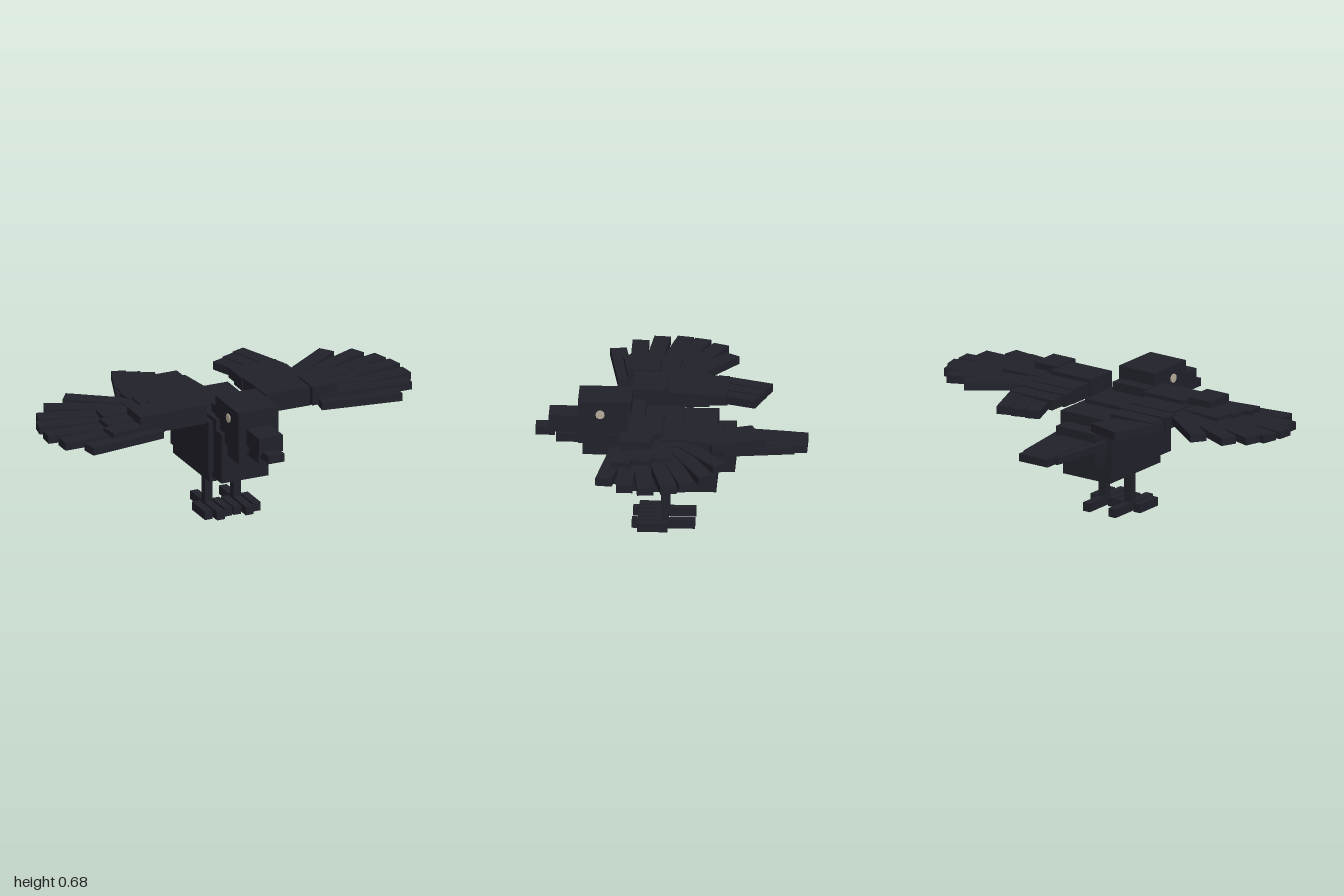
import * as THREE from 'three';

const plumage = new THREE.MeshStandardMaterial({ color: 0x21212b });
plumage.name = 'dark plumage';
const eyeColour = new THREE.MeshStandardMaterial({ color: 0xb8ae9c });
eyeColour.name = 'pale eye';

// Box given by its limits on each axis
function block(parent, name, [x0, x1], [y0, y1], [z0, z1]) {
  const mesh = new THREE.Mesh(
    new THREE.BoxGeometry(Math.abs(x1 - x0), y1 - y0, z1 - z0), plumage);
  mesh.position.set((x0 + x1) / 2, (y0 + y1) / 2, (z0 + z1) / 2);
  mesh.name = name;
  parent.add(mesh);
  return mesh;
}

// Flat feather running from a root point to a tip point (x, z)
function feather(parent, name, [x0, z0], [x1, z1], width, y, thick) {
  const dx = x1 - x0, dz = z1 - z0;
  const mesh = new THREE.Mesh(
    new THREE.BoxGeometry(Math.hypot(dx, dz), thick, width), plumage);
  mesh.position.set((x0 + x1) / 2, y, (z0 + z1) / 2);
  mesh.rotation.y = -Math.atan2(dz, dx);
  mesh.name = name;
  parent.add(mesh);
  return mesh;
}

function makeWing(s) {
  const wing = new THREE.Group();
  wing.name = s > 0 ? 'leftWing' : 'rightWing';

  // Arm and wrist
  block(wing, 'wingArm', [s * 0.16, s * 0.41], [0.535, 0.635], [0.03, 0.205]);
  block(wing, 'wingWrist', [s * 0.405, s * 0.54], [0.545, 0.643], [0.075, 0.235]);

  // Covert rows stepping back from the arm
  block(wing, 'covertFront', [s * 0.175, s * 0.435], [0.54, 0.615], [-0.1, 0.04]);
  block(wing, 'covertMiddle', [s * 0.17, s * 0.455], [0.545, 0.61], [-0.18, -0.09]);
  block(wing, 'covertBack', [s * 0.18, s * 0.44], [0.55, 0.603], [-0.27, -0.17]);
  block(wing, 'handCovert', [s * 0.4, s * 0.5], [0.545, 0.605], [-0.1, 0.1]);

  // Three inner flight feathers
  for (let i = 0; i < 3; i++) {
    const x = 0.194 + i * 0.067, z = -0.42 - i * 0.0275;
    feather(wing, 'innerFeather', [s * (x + 0.1), z + 0.27], [s * x, z],
      0.075, 0.566 + i * 0.005, 0.042);
  }

  // Fan of seven outer flight feathers
  const tips = [[0.855, 0.303], [0.953, 0.195], [0.993, 0.088], [0.982, -0.028],
    [0.943, -0.117], [0.864, -0.21], [0.722, -0.273]];
  tips.forEach(([x, z], i) => {
    const root = [s * 0.44, 0.245 - i * 0.052];
    feather(wing, 'outerFeather', root, [s * x, z], 0.083, 0.553 + i * 0.005, 0.04);
  });

  // Short coverts over the feather roots
  const covertTips = [[0.71, 0.225], [0.69, 0.12], [0.665, 0.02]];
  covertTips.forEach(([x, z], i) => {
    feather(wing, 'outerCovert', [s * 0.45, 0.19 - i * 0.08], [s * x, z],
      0.095, 0.575 + i * 0.005, 0.05);
  });
  return wing;
}

function makeLeg(s) {
  const leg = new THREE.Group();
  leg.name = s > 0 ? 'leftLeg' : 'rightLeg';
  block(leg, 'shank', [s * 0.057, s * 0.1], [0.02, 0.25], [0.01, 0.05]);
  block(leg, 'middleToe', [s * 0.058, s * 0.1], [0, 0.045], [0.012, 0.195]);
  block(leg, 'innerToe', [s * 0.005, s * 0.045], [0, 0.045], [0.015, 0.165]);
  block(leg, 'outerToe', [s * 0.112, s * 0.153], [0, 0.045], [0.015, 0.165]);
  block(leg, 'backToe', [s * 0.058, s * 0.1], [0, 0.045], [-0.12, 0.012]);
  return leg;
}

export function createModel() {
  const bird = new THREE.Group();
  bird.name = 'bird';

  // Body
  block(bird, 'body', [-0.158, 0.158], [0.27, 0.545], [-0.23, 0.215]);
  block(bird, 'belly', [-0.145, 0.145], [0.217, 0.28], [-0.228, 0.2]);
  block(bird, 'underside', [-0.115, 0.115], [0.2, 0.23], [-0.07, 0.105]);
  block(bird, 'chest', [-0.13, 0.13], [0.245, 0.51], [0, 0.308]);
  block(bird, 'mantle', [-0.132, 0.132], [0.5, 0.565], [-0.06, 0.25]);
  block(bird, 'rump', [-0.12, 0.12], [0.317, 0.495], [-0.32, -0.2]);

  // Head and beak
  block(bird, 'neck', [-0.095, 0.095], [0.39, 0.55], [0.2, 0.44]);
  block(bird, 'nape', [-0.1, 0.1], [0.5, 0.61], [0.13, 0.25]);
  block(bird, 'head', [-0.11, 0.11], [0.455, 0.675], [0.197, 0.463]);
  block(bird, 'upperBeak', [-0.066, 0.066], [0.498, 0.585], [0.45, 0.61]);
  block(bird, 'beakTip', [-0.044, 0.044], [0.47, 0.512], [0.58, 0.677]);
  block(bird, 'lowerBeak', [-0.05, 0.05], [0.437, 0.482], [0.43, 0.575]);

  // Tail: one long feather flanked by two slanted ones
  block(bird, 'tailCentre', [-0.088, 0.088], [0.412, 0.452], [-0.678, -0.24]);

  for (const s of [1, -1]) {
    feather(bird, 'tailSide', [s * 0.105, -0.25], [s * 0.055, -0.61], 0.1, 0.43, 0.036);

    const eye = new THREE.Mesh(new THREE.CylinderGeometry(0.023, 0.023, 0.008, 10), eyeColour);
    eye.rotation.z = Math.PI / 2;
    eye.position.set(s * 0.112, 0.61, 0.352);
    eye.name = 'eye';
    bird.add(eye);

    bird.add(makeWing(s), makeLeg(s));
  }
  return bird;
}
